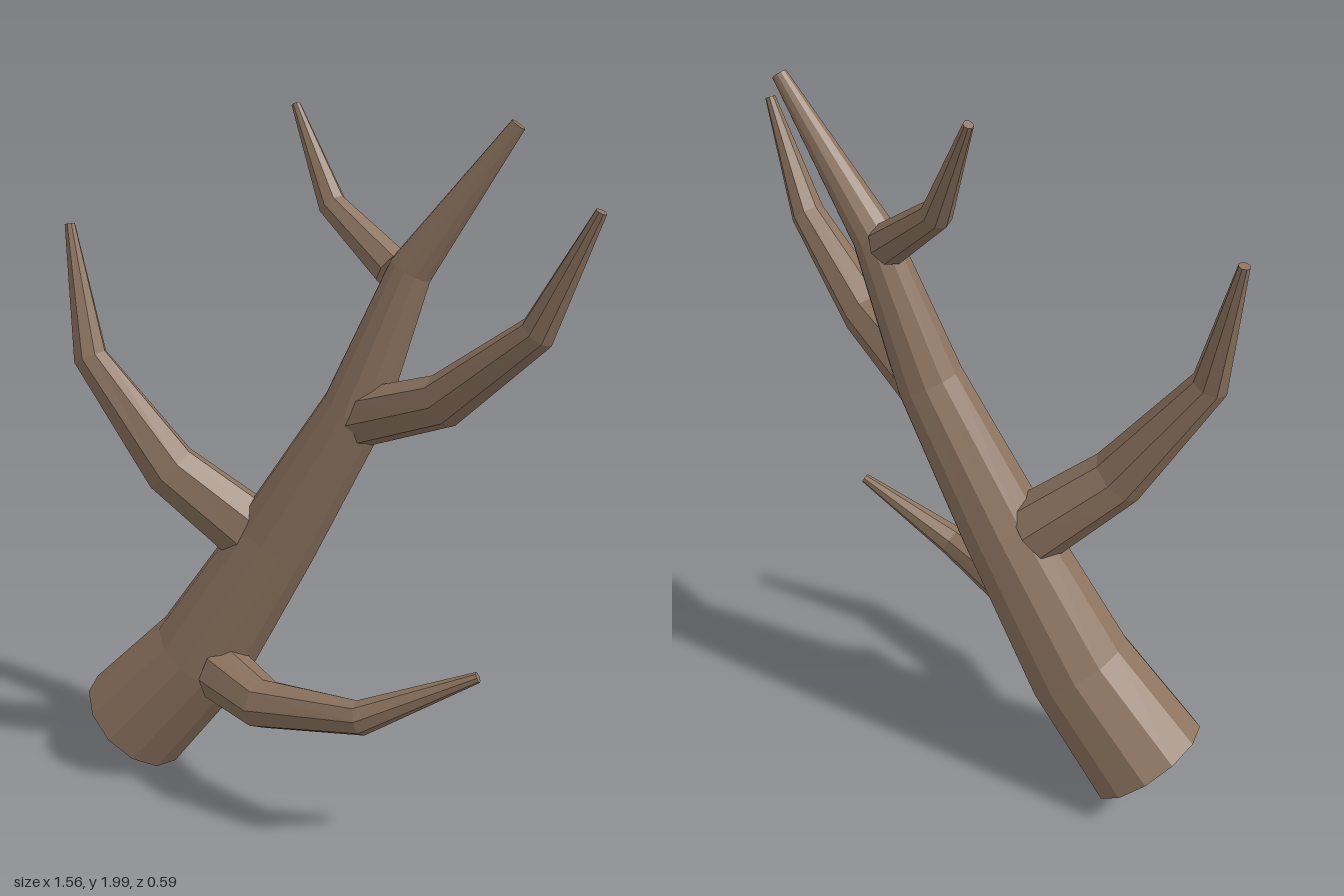
import * as THREE from 'three';

// Tapered, faceted limb: one ring of vertices per [x, y, z, radius] station, capped at both ends.
function limbGeometry(stations, sides) {
  const centres = stations.map(([x, y, z]) => new THREE.Vector3(x, y, z));
  const last = centres.length - 1;
  const positions = [];
  const index = [];
  const side = new THREE.Vector3(0, 0, 1);

  centres.forEach((c, i) => {
    // each ring is square to the mean of the segments meeting there
    const tangent = new THREE.Vector3();
    if (i > 0) tangent.add(c.clone().sub(centres[i - 1]).normalize());
    if (i < last) tangent.add(centres[i + 1].clone().sub(c).normalize());
    tangent.normalize();
    side.addScaledVector(tangent, -side.dot(tangent)).normalize();
    const up = tangent.clone().cross(side);
    for (let k = 0; k < sides; k++) {
      const a = (k / sides) * Math.PI * 2;
      const p = c.clone()
        .addScaledVector(side, Math.cos(a) * stations[i][3])
        .addScaledVector(up, Math.sin(a) * stations[i][3]);
      positions.push(p.x, p.y, p.z);
    }
  });

  // walls
  for (let i = 0; i < last; i++) {
    for (let k = 0; k < sides; k++) {
      const n = (k + 1) % sides;
      const a = i * sides + k, b = i * sides + n;
      index.push(a, b, b + sides, a, b + sides, a + sides);
    }
  }
  // end caps
  const top = last * sides;
  for (let k = 1; k < sides - 1; k++) {
    index.push(0, k + 1, k, top, top + k, top + k + 1);
  }

  const geometry = new THREE.BufferGeometry();
  geometry.setAttribute('position', new THREE.Float32BufferAttribute(positions, 3));
  geometry.setIndex(index);
  const flat = geometry.toNonIndexed();
  flat.computeVertexNormals();
  return flat;
}

export function createModel() {
  const model = new THREE.Group();
  model.name = 'deadBranch';

  const bark = new THREE.MeshStandardMaterial({ color: 0x8c735f, flatShading: true });
  bark.name = 'bark';

  const limbs = [
    // leaning main stem
    { name: 'mainStem', sides: 12, stations: [
      [-0.645, 0.128, 0, 0.18], [-0.415, 0.385, -0.025, 0.157], [-0.175, 0.78, -0.058, 0.125],
      [0.055, 1.18, -0.085, 0.095], [0.2, 1.575, -0.122, 0.062], [0.477, 1.962, -0.147, 0.021]] },
    // big side branch rising on the right
    { name: 'rightBranch', sides: 8, stations: [
      [-0.265, 0.795, -0.045, 0.1], [-0.465, 0.985, 0.05, 0.082],
      [-0.68, 1.305, 0.108, 0.05], [-0.765, 1.668, 0.048, 0.015]] },
    // low branch sweeping forward
    { name: 'lowerFrontBranch', sides: 8, stations: [
      [-0.3, 0.37, 0.06, 0.088], [-0.12, 0.355, 0.168, 0.073],
      [0.21, 0.41, 0.24, 0.049], [0.52, 0.565, 0.185, 0.015]] },
    // upper branch reaching left
    { name: 'leftBranch', sides: 8, stations: [
      [0.06, 1.155, -0.08, 0.083], [0.35, 1.26, 0.02, 0.073],
      [0.615, 1.477, 0.088, 0.049], [0.765, 1.785, 0.124, 0.015]] },
    // small twig at the back
    { name: 'backTwig', sides: 8, stations: [
      [0.14, 1.572, -0.142, 0.058], [-0.07, 1.725, -0.215, 0.041], [-0.213, 1.992, -0.286, 0.013]] },
  ];

  for (const { name, sides, stations } of limbs) {
    const mesh = new THREE.Mesh(limbGeometry(stations, sides), bark);
    mesh.name = name;
    model.add(mesh);
  }
  return model;
}
